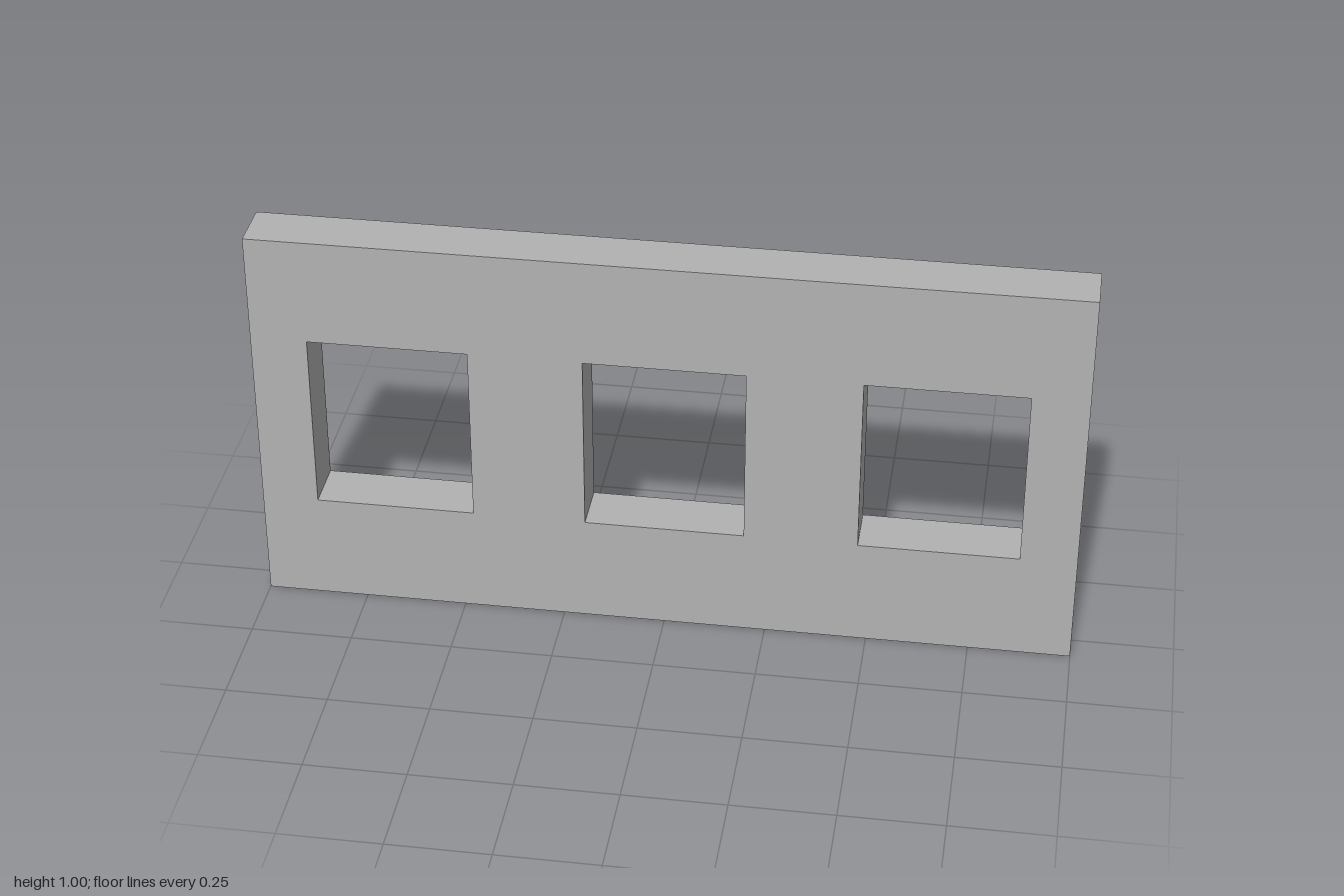
import * as THREE from 'three';

const DEPTH = 0.133;

// Closed rectangular outline centred on x
function rectangle(target, x, width, bottom, top) {
  const l = x - width / 2, r = x + width / 2;
  target.moveTo(l, bottom);
  target.lineTo(r, bottom);
  target.lineTo(r, top);
  target.lineTo(l, top);
  target.closePath();
  return target;
}

export function createModel() {
  const group = new THREE.Group();
  group.name = 'windowWall';

  const wallGrey = new THREE.MeshStandardMaterial({ color: 0xb2b2b2 });
  wallGrey.name = 'wall grey';

  // Wall slab with three evenly spaced window openings
  const outline = rectangle(new THREE.Shape(), 0, 2, 0, 1);
  for (const x of [-0.667, 0, 0.667]) {
    outline.holes.push(rectangle(new THREE.Path(), x, 0.39, 0.275, 0.73));
  }
  const geometry = new THREE.ExtrudeGeometry(outline, { depth: DEPTH, bevelEnabled: false });
  geometry.translate(0, 0, -DEPTH / 2);

  const wall = new THREE.Mesh(geometry, wallGrey);
  wall.name = 'wall';
  group.add(wall);
  return group;
}
